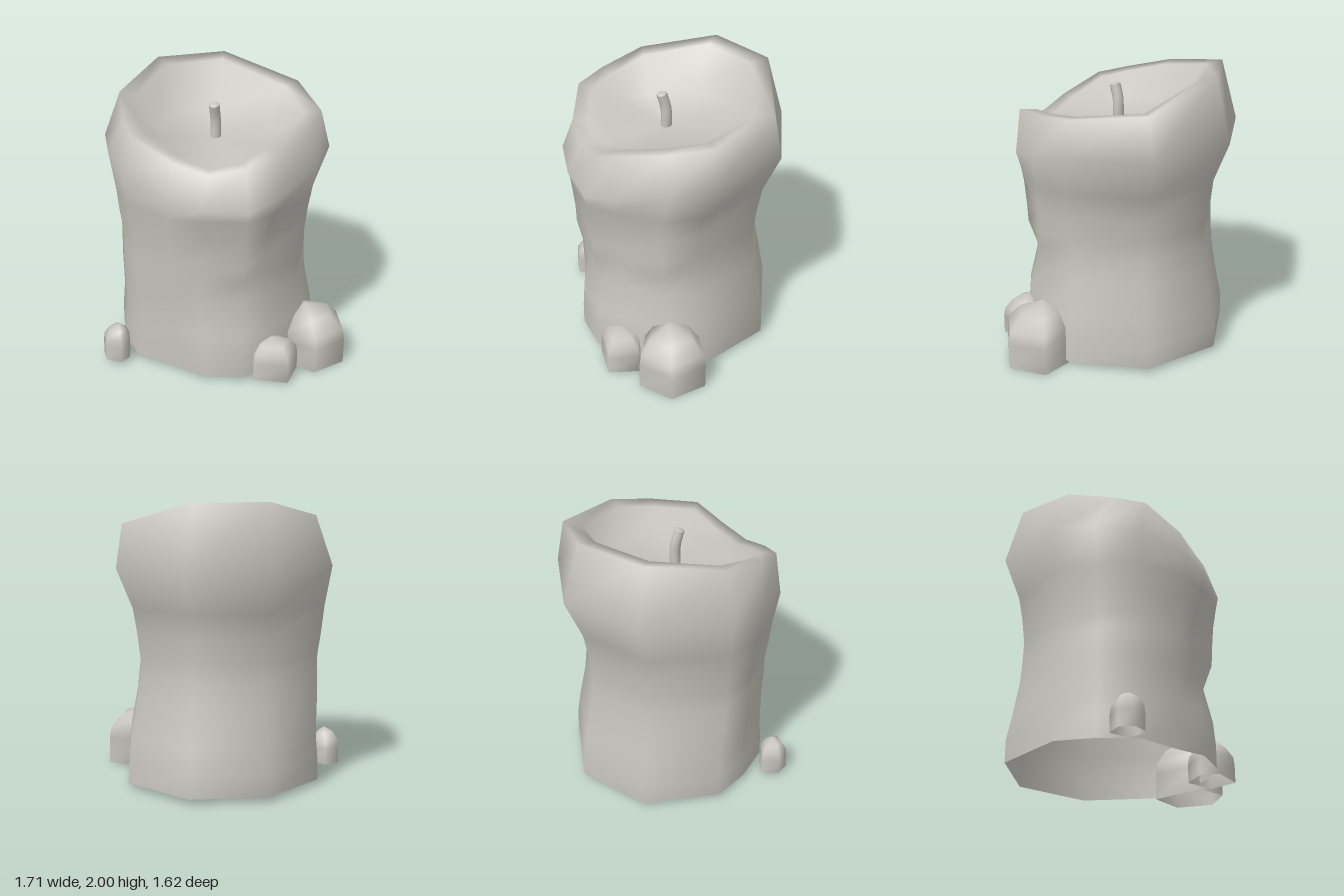
import * as THREE from 'three';

// Skin a stack of equal-length rings (bottom to top), ending in a single apex point
function loft(rings, apex) {
  const n = rings[0].length, index = [];
  for (let r = 0; r < rings.length - 1; r++) {
    for (let i = 0; i < n; i++) {
      const j = (i + 1) % n, a = r * n + i, b = r * n + j;
      index.push(a, a + n, b, b, a + n, b + n);
    }
  }
  const last = (rings.length - 1) * n, tip = rings.length * n;
  for (let i = 0; i < n; i++) index.push(last + i, tip, last + (i + 1) % n);
  const g = new THREE.BufferGeometry();
  g.setAttribute('position', new THREE.Float32BufferAttribute([...rings.flat(), apex].flat(), 3));
  g.setIndex(index);
  g.computeVertexNormals();
  return g;
}

// Columns around the body, starting at the back: widest bulge [x, y, z] and lip crest [x, y, z]
const BULGE = [
  [-0.22, 1.58, -0.81], [0.38, 1.57, -0.79], [0.795, 1.55, -0.33], [0.77, 1.55, 0.27],
  [0.59, 1.5, 0.5], [0.24, 1.4, 0.69], [0.02, 1.34, 0.735], [-0.28, 1.36, 0.64],
  [-0.5, 1.42, 0.51], [-0.7, 1.5, 0.2], [-0.725, 1.55, -0.1], [-0.68, 1.56, -0.4],
];
const CREST = [
  [-0.2, 2, -0.7], [0.31, 2, -0.69], [0.75, 1.85, -0.3], [0.72, 1.8, 0.22],
  [0.52, 1.76, 0.45], [0.25, 1.72, 0.65], [0.02, 1.62, 0.64], [-0.21, 1.58, 0.58],
  [-0.42, 1.65, 0.47], [-0.63, 1.77, 0.24], [-0.64, 1.82, 0.02], [-0.58, 1.9, -0.31],
];
// Profile relative to the bulge: y, back, right, left, front, groove beside the drips, front-left hollow
const PROFILE = [
  [0.04, 0.925, 0.92, 0.885, 0.92, 0, 0.12],
  [0.2, 0.925, 0.91, 0.88, 0.92, 0, 0.1],
  [0.37, 0.88, 0.885, 0.865, 0.9, 0, 0.06],
  [0.62, 0.825, 0.825, 0.88, 0.82, 0.01, 0],
  [0.8, 0.808, 0.8, 0.88, 0.91, 0.08, 0],
  [0.93, 0.803, 0.8, 0.88, 0.92, 0.1, 0],
  [1.1, 0.825, 0.825, 0.915, 0.94, 0.07, 0],
  [1.27, 0.86, 0.86, 0.94, 0.98, 0.02, 0],
];

function bodyGeometry() {
  const rings = PROFILE.map(([y, back, right, left, front, groove, hollow]) =>
    BULGE.map(([x, , z], i) => {
      const kz = i === 5 || i === 7 ? 1 - groove : 1;
      const k = i === 8 ? 1 - hollow : i === 4 ? 1 + groove * 0.5 : 1;
      return [x * (x > 0 ? right : left) * k, y, z * (z > 0 ? front : back) * kz * k];
    }));
  rings.push(BULGE, CREST);
  // thick rounded lip, then a wall dropping to the shallow melted pool
  rings.push(CREST.map(([x, y, z]) => [x * 0.84, 1.58 + (y - 1.58) * 0.94, z * 0.84]));
  rings.push(CREST.map(([x, y, z]) => [x * 0.62, 1.6 + (y - 1.6) * 0.17, z * 0.62]));
  return loft(rings, [0.01, 1.61, 0]);
}

// Pooled drops: faceted outline [x, z], base height, peak [x, y, z]
const DROPS = [
  { outline: [[-0.665, 0.1], [-0.69, 0.18], [-0.76, 0.225], [-0.855, 0.16], [-0.85, 0.06], [-0.74, 0]],
    base: 0.035, peak: [-0.75, 0.3, 0.12] },
  { outline: [[0.435, 0.64], [0.3, 0.81], [0.09, 0.7], [0.1, 0.56], [0.28, 0.48]],
    base: 0.02, peak: [0.24, 0.315, 0.65] },
  { outline: [[0.85, 0.39], [0.79, 0.655], [0.535, 0.725], [0.39, 0.55], [0.62, 0.24]],
    base: 0.005, peak: [0.55, 0.43, 0.46] },
];

function dropGeometry({ outline, base, peak }) {
  const [px, py, pz] = peak;
  const rings = [[1, 0], [1, 0.44], [0.95, 0.64], [0.64, 0.86]].map(([s, t]) =>
    outline.map(([x, z]) => [px + (x - px) * s, base + (py - base) * t, pz + (z - pz) * s]));
  return loft(rings, peak);
}

export function createModel() {
  const group = new THREE.Group();
  const wax = new THREE.MeshStandardMaterial({ color: 0xc8c6be, side: THREE.DoubleSide });
  const add = (geometry, name) => {
    const mesh = new THREE.Mesh(geometry, wax);
    mesh.name = name;
    group.add(mesh);
    return mesh;
  };

  add(bodyGeometry(), 'candleBody');
  DROPS.forEach((drop, i) => add(dropGeometry(drop), `waxDrop${i + 1}`));

  // bent wick with a capped tip
  const path = new THREE.CatmullRomCurve3([
    new THREE.Vector3(0.02, 1.57, 0), new THREE.Vector3(0.025, 1.7, 0),
    new THREE.Vector3(0.018, 1.77, 0.005), new THREE.Vector3(0.005, 1.85, 0.025),
  ]);
  add(new THREE.TubeGeometry(path, 8, 0.038, 8), 'wick');
  const cap = add(new THREE.SphereGeometry(0.038, 8, 3, 0, Math.PI * 2, 0, Math.PI / 2), 'wickTip');
  cap.scale.y = 0.4;
  cap.position.copy(path.getPoint(1));
  cap.quaternion.setFromUnitVectors(new THREE.Vector3(0, 1, 0), path.getTangent(1));
  return group;
}
